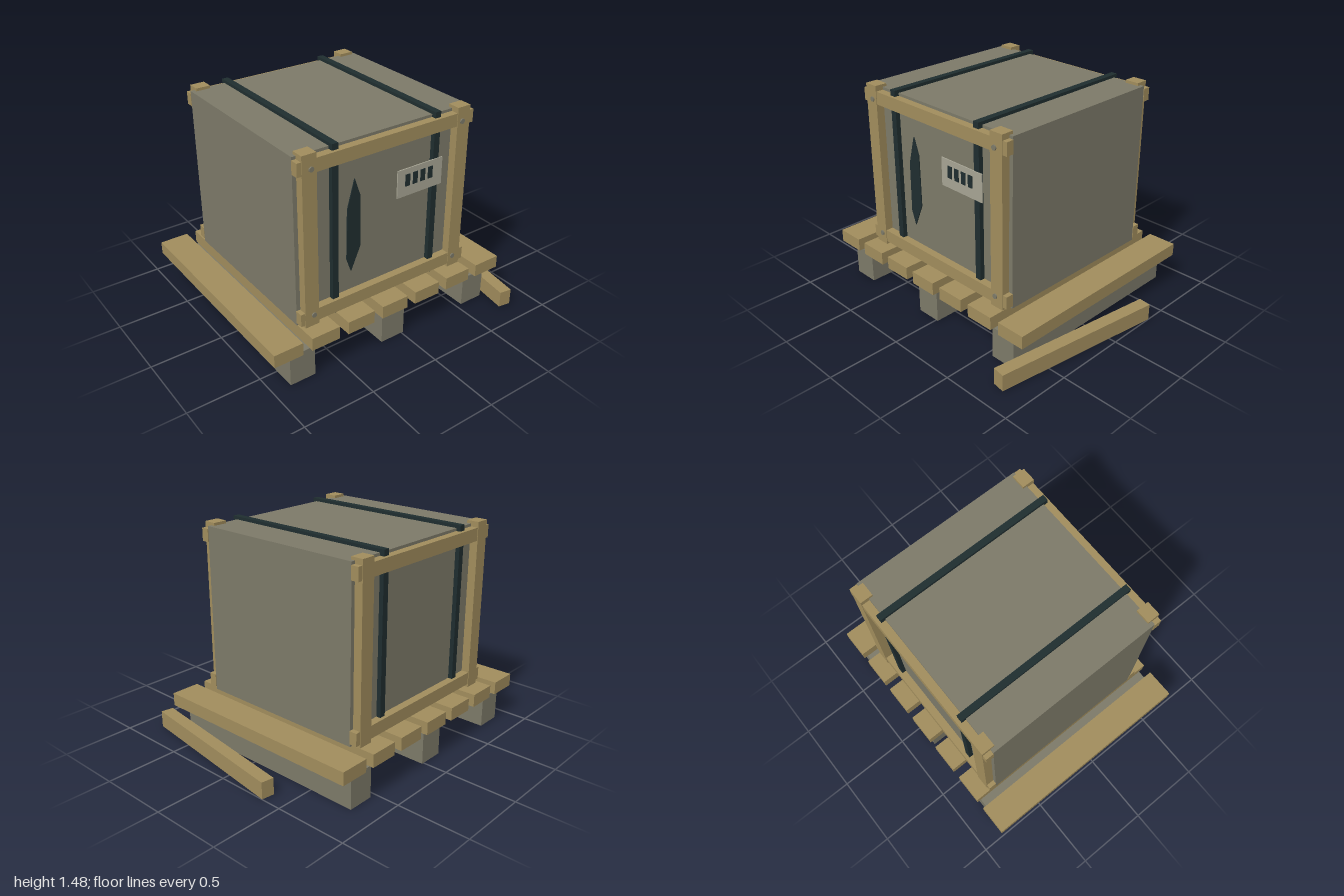
import * as THREE from 'three';

const material = (name, color) => {
  const m = new THREE.MeshStandardMaterial({ color });
  m.name = name;
  return m;
};

export function createModel() {
  const wood = material('wood', 0xa08c5c);
  const grey = material('weathered grey', 0x7c7968);
  const dark = material('dark strap', 0x1f2d2f);
  const paper = material('label paper', 0xa6a493);

  const model = new THREE.Group();
  model.name = 'crateOnPallet';
  const group = (name) => {
    const g = new THREE.Group();
    g.name = name;
    model.add(g);
    return g;
  };
  // Box given by its extents on each axis
  const box = (parent, name, mat, [x0, x1], [y0, y1], [z0, z1]) => {
    const mesh = new THREE.Mesh(new THREE.BoxGeometry(x1 - x0, y1 - y0, z1 - z0), mat);
    mesh.position.set((x0 + x1) / 2, (y0 + y1) / 2, (z0 + z1) / 2);
    mesh.name = name;
    parent.add(mesh);
    return mesh;
  };

  // Pallet: three runners under seven slats
  const pallet = group('pallet');
  for (const x of [-0.784, -0.076, 0.634]) {
    box(pallet, 'runner', grey, [x - 0.091, x + 0.091], [0, 0.22], [-0.824, 0.659]);
  }
  for (let i = 0; i < 7; i++) {
    const x = -0.898 + i * 0.2707;
    box(pallet, 'slat', wood, [x - 0.102, x + 0.102], [0.22, 0.31], [-0.853, 0.69]);
  }

  // Crate body
  const crate = group('crate');
  box(crate, 'crateBody', grey, [-0.733, 0.583], [0.31, 1.461], [-0.69, 0.525]);

  // Mirrored end frames: two posts and two rails each
  const midZ = -0.0825;
  for (const side of [1, -1]) {
    const span = (a, b) => [midZ + side * a, midZ + side * b].sort((p, q) => p - q);
    const frame = new THREE.Group();
    frame.name = side > 0 ? 'frontFrame' : 'backFrame';
    crate.add(frame);
    for (const x of [-0.655, 0.505]) {
      box(frame, 'post', wood, [x - 0.05, x + 0.05], [0.31, 1.48], span(0.578, 0.665));
    }
    for (const y of [0.375, 1.398]) {
      box(frame, 'rail', wood, [-0.735, 0.588], [y - 0.044, y + 0.044], span(0.607, 0.661));
    }
  }

  // Bolt heads on the front frame
  const boltGeometry = new THREE.CylinderGeometry(0.017, 0.017, 0.016, 12).rotateX(Math.PI / 2);
  for (const x of [-0.643, 0.492]) {
    for (const y of [0.388, 1.384]) {
      const bolt = new THREE.Mesh(boltGeometry, grey);
      bolt.position.set(x, y, 0.583);
      bolt.name = 'bolt';
      crate.add(bolt);
    }
  }

  // Straps wrapped over the crate
  for (const x of [-0.461, 0.313]) {
    box(crate, 'strap', dark, [x - 0.022, x + 0.022], [0.311, 1.482], [-0.72, 0.557]);
  }

  // Label with printed bars
  const label = group('label');
  box(label, 'labelPlate', paper, [0.003, 0.364], [0.977, 1.167], [0.555, 0.563]);
  for (let i = 0; i < 4; i++) {
    const x = 0.081 + i * 0.061;
    box(label, 'labelBar', dark, [x - 0.018, x + 0.018], [1.047, 1.128], [0.561, 0.568]);
  }

  // Angular painted mark on the front panel
  const outline = [[-0.302, 1.2], [-0.26, 1.08], [-0.256, 0.717], [-0.325, 0.556], [-0.359, 0.652], [-0.355, 1.005]];
  const shape = new THREE.Shape(outline.map(([x, y]) => new THREE.Vector2(x, y)));
  const mark = new THREE.Mesh(new THREE.ExtrudeGeometry(shape, { depth: 0.008, bevelEnabled: false }), dark);
  mark.position.z = 0.524;
  mark.name = 'paintedMark';
  crate.add(mark);

  // Loose plank leaning askew on the ground
  const plank = box(model, 'loosePlank', wood, [0.825, 0.913], [0, 0.116], [-0.368, 0.85]);
  plank.rotation.y = -0.1425;

  return model;
}
